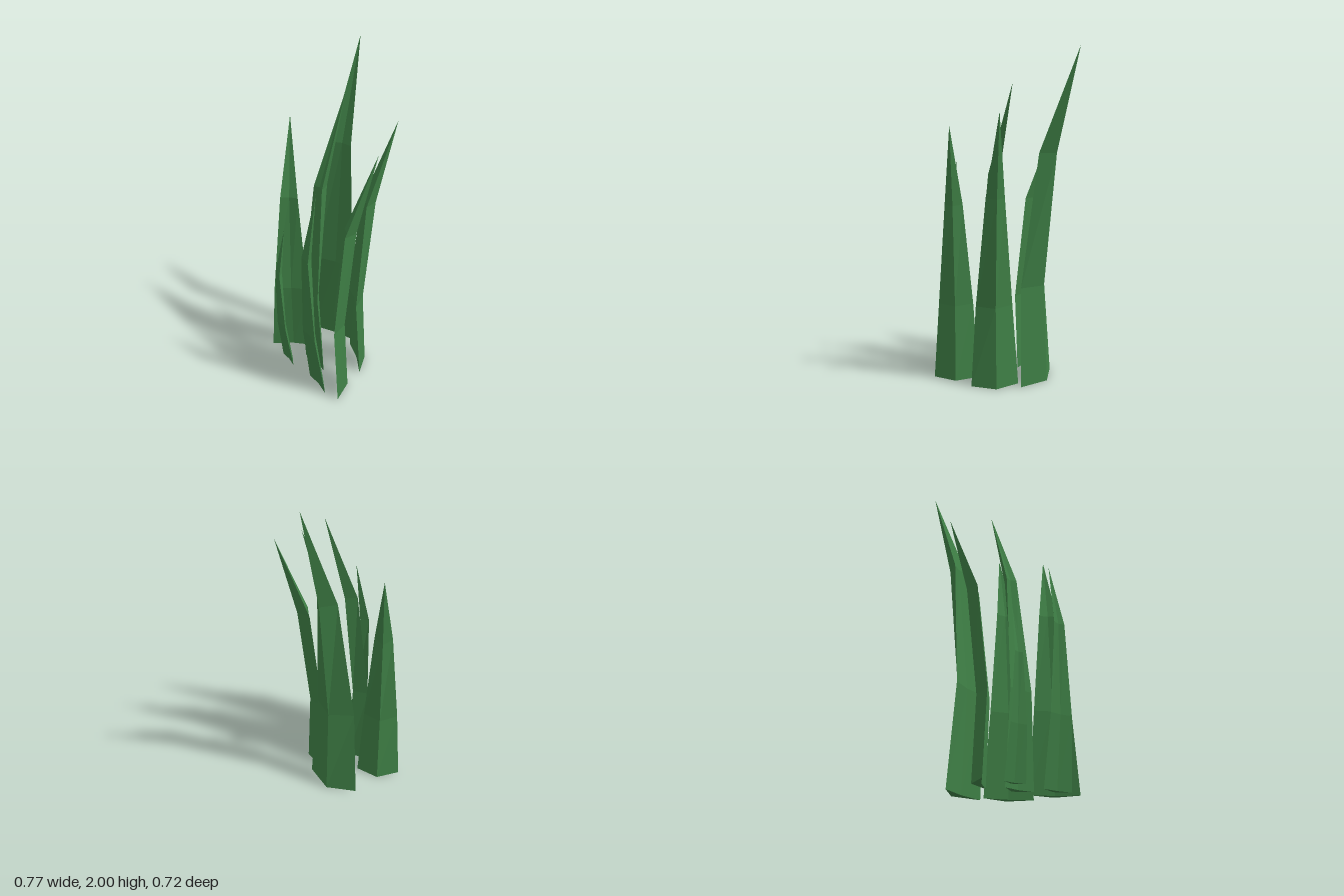
import * as THREE from 'three';

const grassGreen = new THREE.MeshStandardMaterial({ color: 0x3f8046, flatShading: true });
grassGreen.name = 'grassGreen';

// Offsets of the spine along the backward direction, as fractions of blade height
const archBack = [0, -0.0133, 0.0257, 0.1365];
const bowForward = [0, -0.04, -0.0515, 0.0082];

// Blade with a folded four-point section: left edge, front crease, right edge, back ridge
function blade(name, { x, z, angle, halfWidth, fold, height, bend }) {
  const levels = [0, 0.3, 0.7, 1];
  const widths = [1, 0.77, 0.39, 0];
  const across = new THREE.Vector3(Math.cos(angle), 0, Math.sin(angle));
  const back = new THREE.Vector3(Math.sin(angle), 0, -Math.cos(angle));
  const rings = levels.map((level, i) => {
    const w = halfWidth * widths[i];
    const f = i === 3 ? 0 : fold;
    const section = [[-w, 0], [0, f * 0.2], [w, 0], [0, f]];
    return section.map(([u, v]) =>
      new THREE.Vector3(x, level * height, z)
        .addScaledVector(across, u)
        .addScaledVector(back, v + bend[i] * height));
  });

  const points = [];
  for (let i = 0; i < 3; i++) {
    for (let j = 0; j < 4; j++) {
      const k = (j + 1) % 4;
      const [lower, upper] = [rings[i], rings[i + 1]];
      points.push(lower[j], lower[k], upper[k]);
      if (i < 2) points.push(lower[j], upper[k], upper[j]);
    }
  }
  // Base cap
  const [l, f, r, b] = rings[0];
  points.push(l, b, f, f, b, r);

  const geometry = new THREE.BufferGeometry().setFromPoints(points);
  geometry.computeVertexNormals();
  const mesh = new THREE.Mesh(geometry, grassGreen);
  mesh.name = name;
  return mesh;
}

export function createModel() {
  const group = new THREE.Group();
  group.name = 'grassTuft';

  // Back row
  group.add(blade('backRightBlade', { x: -0.137, z: -0.106, angle: -0.38, halfWidth: 0.175, fold: 0.079, height: 2, bend: archBack }));
  group.add(blade('backLeftBlade', { x: 0.132, z: -0.05, angle: 0.46, halfWidth: 0.143, fold: 0.068, height: 1.64, bend: archBack }));

  // Middle row
  group.add(blade('centreBlade', { x: 0.009, z: 0.186, angle: 0, halfWidth: 0.0985, fold: 0.065, height: 1.8, bend: archBack }));
  group.add(blade('rightBlade', { x: -0.229, z: 0.19, angle: -0.845, halfWidth: 0.137, fold: 0.064, height: 1.56, bend: archBack }));
  group.add(blade('leftBlade', { x: 0.257, z: 0.19, angle: 0.643, halfWidth: 0.137, fold: 0.064, height: 1.56, bend: archBack }));

  // Short front blades
  group.add(blade('frontLeftBlade', { x: 0.183, z: 0.291, angle: 0.1, halfWidth: 0.093, fold: 0.044, height: 1.34, bend: bowForward }));
  group.add(blade('frontRightBlade', { x: -0.122, z: 0.304, angle: 0.09, halfWidth: 0.067, fold: 0.032, height: 0.98, bend: bowForward }));

  return group;
}
